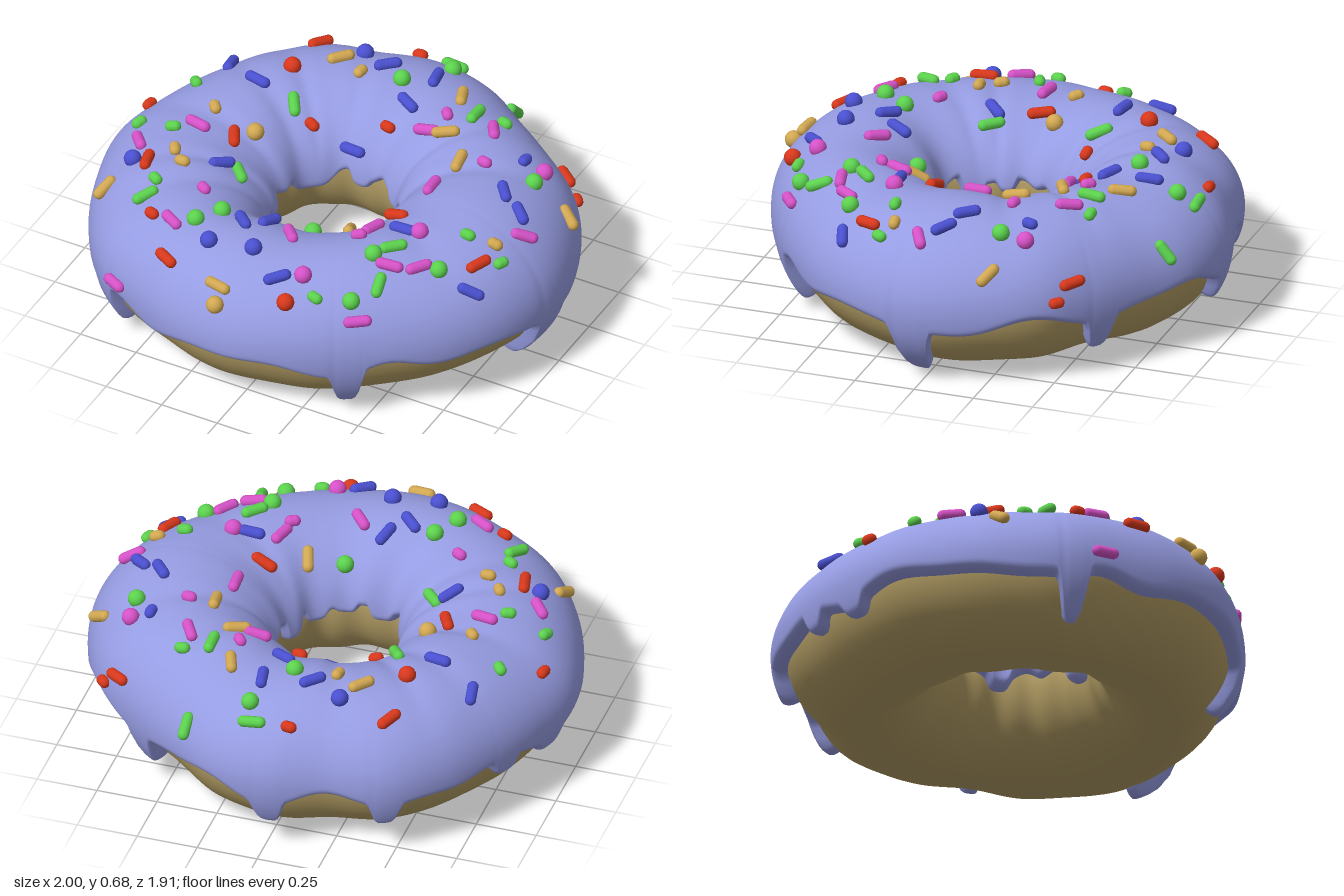
import * as THREE from 'three';
import { mergeGeometries } from 'three/addons/utils/BufferGeometryUtils.js';

const TAU = Math.PI * 2;
const RAD = Math.PI / 180;
const MID = 0.32; // height of the widest line of the ring
const LOWER = 0.313; // depth of the dough below that line
const material = (name, color, side = THREE.FrontSide) => {
  const m = new THREE.MeshStandardMaterial({ color, side });
  m.name = name;
  return m;
};

// Outer radius every 15 degrees and hole radius every 30 degrees, from +x towards +z
const OUTER = [1, 0.98, 0.945, 0.91, 0.9, 0.915, 0.945, 0.955, 0.96, 0.99, 0.985, 0.985,
  1, 0.968, 0.955, 0.97, 0.98, 0.935, 0.96, 0.945, 0.9, 0.91, 0.96, 0.985];
const INNER = [0.22, 0.23, 0.26, 0.265, 0.305, 0.255, 0.247, 0.27, 0.275, 0.25, 0.237, 0.23];

// Drips: [degrees, lowest height, half width in degrees]
const OUTER_DRIPS = [[2, 0.04, 4.2], [59, 0.07, 3.8], [133, 0.09, 3.2], [-47, 0.11, 3.6],
  [-91, 0.13, 3.6], [-120, 0.15, 3.4], [-154, 0.21, 3.6], [-170, 0.19, 3.6]];
const INNER_DRIPS = [[28, 0.27, 10], [55, 0.29, 10], [80, 0.32, 9], [108, 0.3, 8], [138, 0.28, 8],
  [165, 0.31, 8], [222, 0.28, 19], [262, 0.3, 9], [310, 0.3, 10]];
// Radial folds in the icing: [degrees, half width]
const FOLDS = [[142, 5], [158, 4], [186, 5], [212, 5], [228, 4], [-22, 5], [-48, 4], [30, 6], [252, 5]];

// Smooth closed interpolation through a list of values
function ring(values, az) {
  const n = values.length;
  const f = ((az / TAU) % 1 + 1) % 1 * n;
  const i = Math.floor(f);
  const t = f - i;
  const [a, b, c, d] = [-1, 0, 1, 2].map((k) => values[(i + k + n) % n]);
  return b + 0.5 * t * (c - a + t * (2 * a - 5 * b + 4 * c - d + t * (3 * (b - c) + d - a)));
}

// Angular distance in degrees
const apart = (az, deg) => Math.abs(((az / RAD - deg + 180) % 360 + 360) % 360 - 180);

// Point at angle az around the ring, phi around its section, t above the dough
function surfacePoint(az, phi, t) {
  const ro = ring(OUTER, az);
  const ri = ring(INNER, az);
  const sin = Math.sin(phi);
  const a = (ro - ri) / 2 - 0.05 + t;
  const b = (sin > 0 ? 0.266 + 0.016 * Math.cos(az) : LOWER) + t;
  const r = (ro + ri) / 2 + a * Math.cos(phi);
  return new THREE.Vector3(r * Math.cos(az), MID + b * sin, r * Math.sin(az));
}

// Full icing thickness, with soft waves and folds
function icingThickness(az, phi) {
  const top = Math.max(0, Math.sin(phi)) ** 2;
  const inside = 0.5 - 0.5 * Math.cos(phi);
  let t = 0.05 + top * (0.007 * Math.cos(3 * az + 0.3) + 0.005 * Math.sin(7 * az + phi))
    + 0.006 * inside ** 3 * Math.cos(11 * az);
  for (const [deg, w] of FOLDS) {
    t -= 0.016 * (0.2 + 0.8 * inside) * top * Math.exp(-((apart(az, deg) / w) ** 2));
  }
  return t;
}

// Height of the icing edge, pulled down by the drips
function edgeHeight(az, base, drips) {
  let y = base + 0.018 * Math.sin(9 * az) + 0.01 * Math.cos(14 * az);
  for (const [deg, low, w] of drips) {
    const d = apart(az, deg);
    const pull = 0.8 * Math.exp(-((d / w) ** 5)) + 0.2 * Math.exp(-((d / (w * 2.4)) ** 2));
    y -= (y - low) * pull;
  }
  return Math.max(y, 0.03);
}

// Surface from a rule, closed around the ring; closed around the section if asked
function gridSurface(cols, rows, closed, rule) {
  const positions = [];
  const index = [];
  const count = closed ? rows : rows + 1;
  for (let i = 0; i < cols; i++) {
    for (let j = 0; j < count; j++) positions.push(...rule((i / cols) * TAU, j / rows).toArray());
    for (let j = 0; j < rows; j++) {
      const i2 = (i + 1) % cols;
      const j2 = (j + 1) % count;
      const [a, b, c, d] = [i * count + j, i * count + j2, i2 * count + j2, i2 * count + j];
      index.push(a, b, c, a, c, d);
    }
  }
  const g = new THREE.BufferGeometry();
  g.setAttribute('position', new THREE.Float32BufferAttribute(positions, 3));
  g.setIndex(index);
  g.computeVertexNormals();
  return g;
}

function doughPoint(az, v) {
  const phi = v * TAU;
  const inside = 0.5 - 0.5 * Math.cos(phi);
  const wave = 0.005 * Math.cos(5 * az + 1) + (0.004 * Math.cos(11 * az) - 0.006) * (1 - inside)
    + 0.006 * inside * Math.cos(13 * az + 2);
  return surfacePoint(az, phi, wave);
}

function icingPoint(az, v) {
  const phi0 = Math.asin((edgeHeight(az, 0.265, OUTER_DRIPS) - MID) / LOWER);
  const phi1 = Math.PI - Math.asin((edgeHeight(az, 0.37, INNER_DRIPS) - MID) / LOWER);
  const s = 0.5 - 0.5 * Math.cos(v * Math.PI); // rows gather at both edges
  const phi = phi0 + (phi1 - phi0) * s;
  const fromEdge = Math.min(s, 1 - s) * (phi1 - phi0) * 0.33;
  const k = Math.min(fromEdge / 0.04, 1);
  const round = Math.sqrt(1 - (1 - k) ** 2);
  return surfacePoint(az, phi, -0.016 + (icingThickness(az, phi) + 0.016) * round);
}

// Sprinkles seen from above: [x, z] is a ball, [x, z, degrees, short?] is a rod
const SPRINKLES = {
  red: [0xd8381c, [[-0.08, -0.84, -10, 1], [-0.45, -0.7, 70], [-0.45, -0.46], [-0.26, -0.27, -20, 1],
    [0.03, -0.37, -15, 1], [-0.9, -0.11, 80, 1], [-0.46, 0, -60], [-0.68, 0.32, -75], [0.35, 0.15, -10],
    [0.78, 0.27, 70], [-0.5, 0.61, -20, 1], [-0.34, 0.78, -30], [0.2, 0.8], [0.72, -0.56, -15],
    [0.79, -0.52, -30, 1]]],
  green: [0x5cd24e, [[0.07, -0.85, 10], [0.1, -0.78], [0.35, -0.82, 60], [-0.02, -0.58], [0.35, -0.51, 90],
    [0.46, -0.545, 0, 1], [-0.35, -0.29, -55], [-0.76, -0.24, -40, 1], [0.74, -0.27], [0.69, 0.19, 0, 1],
    [0.84, 0.2, 60, 1], [0.67, 0.39], [0.47, 0.4, 45], [0.42, 0.475], [0.07, 0.33], [-0.35, 0.17, -45],
    [-0.69, 0.09, 20, 1], [-0.85, 0.07, 60, 1], [-0.59, 0.42, -30, 1], [-0.58, 0.52, 55], [-0.25, 0.5],
    [-0.31, 0.6], [0.5, 0.58, -70], [0.43, 0.68], [0.3, 0.74, -20, 1]]],
  blue: [0x4a50d0, [[-0.24, -0.68], [-0.11, -0.63, 45], [0.09, -0.66, -80], [0.06, -0.48, -30],
    [-0.7, -0.42, -70], [-0.53, -0.32, -10], [-0.08, -0.29, 5], [0.65, -0.36, 80, 1], [0.69, -0.11, -50],
    [0.79, -0.05, -35], [0.44, 0.27, 0], [0.8, 0.37, -5], [-0.75, 0.31], [-0.42, 0.18, 50],
    [-0.06, 0.46, 75], [-0.14, 0.53, -45], [-0.2, 0.69], [-0.02, 0.66], [0.13, 0.74, 50]]],
  yellow: [0xd2a852, [[-0.3, -0.59, 50], [-0.19, -0.55, 80, 1], [0.24, -0.6, -70], [0.29, -0.37, 30],
    [0.43, -0.225, -85], [0.89, -0.27, 0], [-0.6, -0.1, -50, 1], [-0.41, -0.08], [-0.61, 0.22, -60, 1],
    [-0.54, 0.29, 0, 1], [-0.8, 0.44, 50], [0.21, 0.28, -60], [0.79, 0.155, 0, 1], [-0.08, 0.84, -15],
    [-0.065, 0.89]]],
  pink: [0xd652c8, [[0.25, -0.46, -50, 1], [0.46, -0.455, -60], [0.21, -0.365, 10], [0.73, -0.37],
    [0.53, -0.25, -10, 1], [0.41, -0.05, -85], [0.85, 0.03, 20], [-0.61, 0.03, -10], [-0.78, 0.2, -45],
    [-0.385, 0.4, -30, 1], [0.33, 0.31, 75], [0.31, 0.39, 30, 1], [0.515, 0.26], [0.6, 0.43, 55],
    [0.5, 0.49, 10], [0.06, 0.5, -50], [-0.4, 0.63, -30], [0.22, 0.69], [0.475, 0.71, 40],
    [-0.57, 0.785, -10]]],
};

// One sprinkle resting on the icing, tilted a little with the slope
function sprinkle([x, z, deg, short]) {
  const az = Math.atan2(z, x);
  const ro = ring(OUTER, az);
  const ri = ring(INNER, az);
  const u = (Math.hypot(x, z) - (ro + ri) / 2) / ((ro - ri) / 2);
  const phi = Math.acos(THREE.MathUtils.clamp(u, -0.98, 0.998));
  const at = (da, dp) => surfacePoint(az + da, phi + dp, icingThickness(az + da, phi + dp));
  const p = at(0, 0);
  const normal = at(0, 0.01).sub(p).cross(at(0.01, 0).sub(p)).normalize();
  const ball = deg === undefined;
  const g = ball ? new THREE.SphereGeometry(0.036, 14, 10)
    : new THREE.CapsuleGeometry(0.023, short ? 0.02 : 0.07, 4, 10);
  if (!ball) {
    const dir = new THREE.Vector3(Math.cos(deg * RAD), 0, -Math.sin(deg * RAD)).projectOnPlane(normal);
    dir.y *= 0.6;
    g.applyQuaternion(new THREE.Quaternion().setFromUnitVectors(new THREE.Vector3(0, 1, 0), dir.normalize()));
  }
  p.addScaledVector(normal, 0.01);
  return g.translate(p.x, p.y, p.z);
}

export function createModel() {
  const group = new THREE.Group();
  group.name = 'doughnut';
  const add = (name, geometry, mat) => {
    const mesh = new THREE.Mesh(geometry, mat);
    mesh.name = name;
    group.add(mesh);
  };
  add('dough', gridSurface(144, 48, true, doughPoint), material('dough', 0xb39d64));
  add('icing', gridSurface(432, 64, false, icingPoint), material('icing', 0x969ce2, THREE.DoubleSide));
  for (const [name, [color, list]] of Object.entries(SPRINKLES)) {
    add(`${name}Sprinkles`, mergeGeometries(list.map(sprinkle)), material(name, color));
  }
  return group;
}
